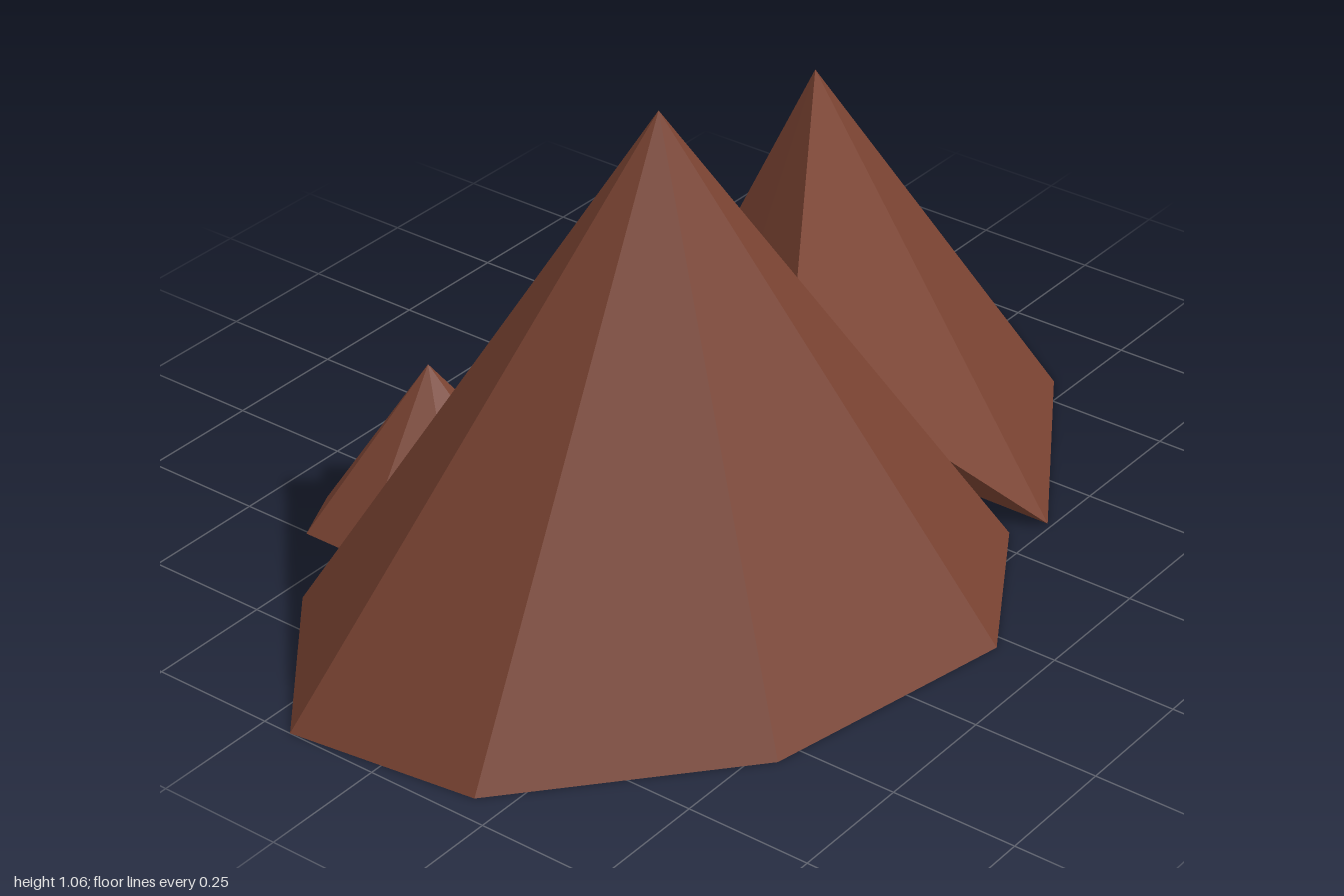
import * as THREE from 'three';

const rock = new THREE.MeshStandardMaterial({ color: 0x7a4332, flatShading: true });
rock.name = 'reddish brown rock';

// Faceted peak: a fan of sides from the apex and a fan closing the base.
// Ring points are [x, z, y = 0] relative to the apex, turning from +x towards +z.
function peak(name, [ax, ay, az], ring) {
  const apex = [ax, ay, az];
  const foot = [ax, 0, az];
  const base = ring.map(([x, z, y = 0]) => [ax + x, y, az + z]);
  const positions = [];
  base.forEach((p, i) => {
    const q = base[(i + 1) % base.length];
    positions.push(...apex, ...q, ...p, ...foot, ...p, ...q);
  });
  const geometry = new THREE.BufferGeometry();
  geometry.setAttribute('position', new THREE.Float32BufferAttribute(positions, 3));
  geometry.computeVertexNormals();
  const mesh = new THREE.Mesh(geometry, rock);
  mesh.name = name;
  return mesh;
}

export function createModel() {
  const group = new THREE.Group();
  group.name = 'mountains';

  // Tall peak, skewed octagonal base
  group.add(peak('tallPeak', [-0.35, 1.06, 0.13], [
    [0.6, -0.06], [0.65, 0.32], [0.32, 0.515], [-0.2, 0.41],
    [-0.6, 0.06], [-0.65, -0.32], [-0.32, -0.59], [0.2, -0.405],
  ]));

  // Broad peak, with one base corner lifted where it meets the tall peak
  group.add(peak('broadPeak', [0.37, 0.79, -0.065], [
    [0.625, 0], [0.445, 0.275], [0, 0.555], [-0.445, 0.275, 0.47],
    [-0.625, 0.09], [-0.18, -0.32], [0, -0.39], [0.445, -0.28],
  ]));

  // Small outcrop at the back
  group.add(peak('smallOutcrop', [-0.295, 0.32, -0.465], [
    [0.21, 0], [0.21, 0.135], [0.09, 0.19], [-0.085, 0.135],
    [-0.21, 0], [-0.21, -0.135], [-0.09, -0.19], [0.085, -0.135],
  ]));

  return group;
}
